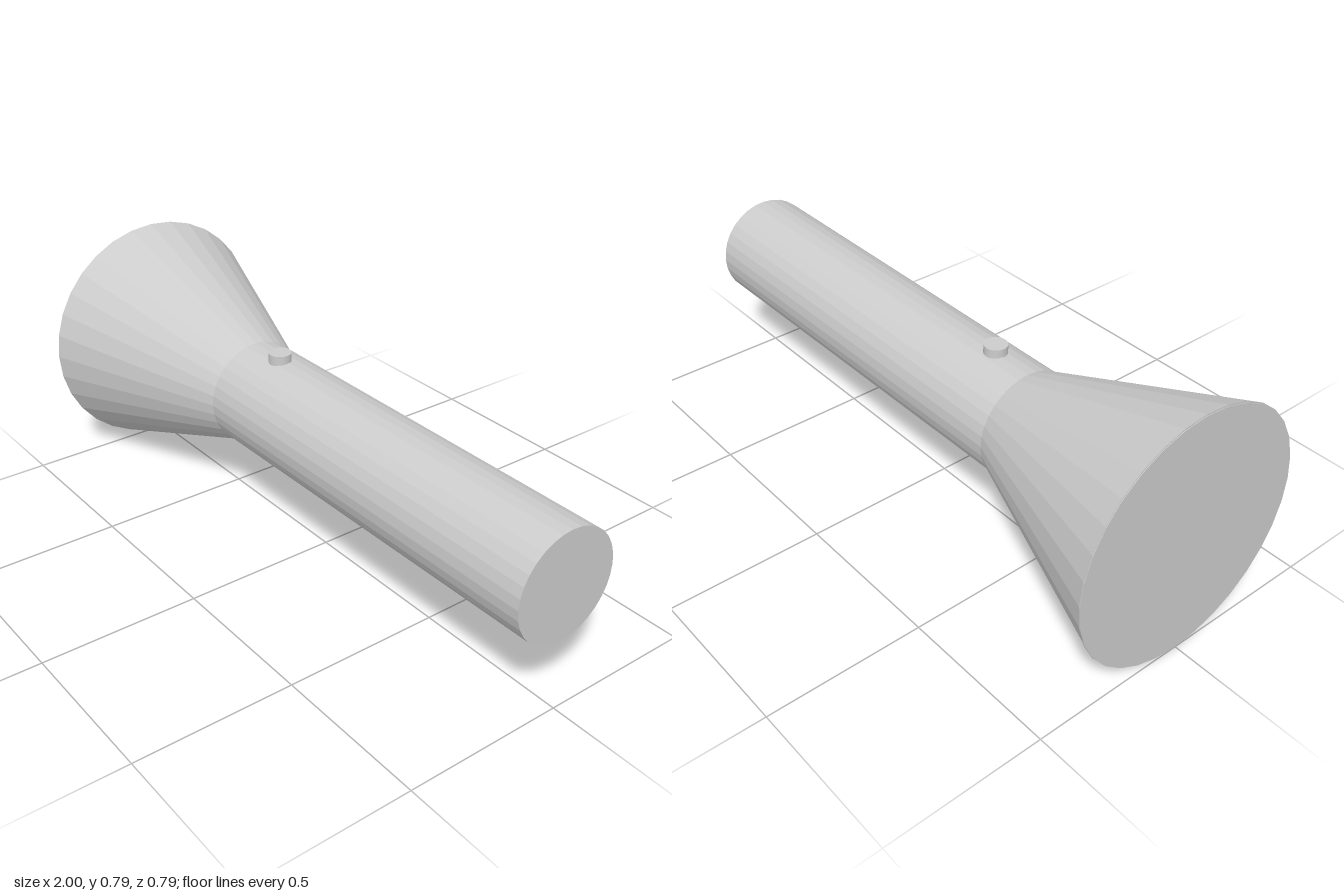
import * as THREE from 'three';

const AXIS_Y = 0.396;

export function createModel() {
  const model = new THREE.Group();
  const material = new THREE.MeshStandardMaterial({ color: 0xcccccc, flatShading: true });

  // Round part lying along x, from x0 (radius r0) to x1 (radius r1)
  function roundPart(name, x0, r0, x1, r1, y = AXIS_Y, z = 0) {
    const geometry = new THREE.CylinderGeometry(r1, r0, x1 - x0, 32);
    geometry.rotateZ(-Math.PI / 2);
    const mesh = new THREE.Mesh(geometry, material);
    mesh.name = name;
    mesh.position.set((x0 + x1) / 2, y, z);
    model.add(mesh);
  }

  // Handle, flared head and the thin lens closing it
  roundPart('handle', -0.37, 0.171, 1, 0.171);
  roundPart('head', -0.998, 0.394, -0.37, 0.171);
  roundPart('lens', -1, 0.393, -0.996, 0.393, 0.393, -0.001);

  // Switch button on top of the handle
  const button = new THREE.Mesh(new THREE.CylinderGeometry(0.036, 0.036, 0.053, 32), material);
  button.name = 'switchButton';
  button.position.set(-0.223, 0.5665, 0.009);
  model.add(button);

  return model;
}
